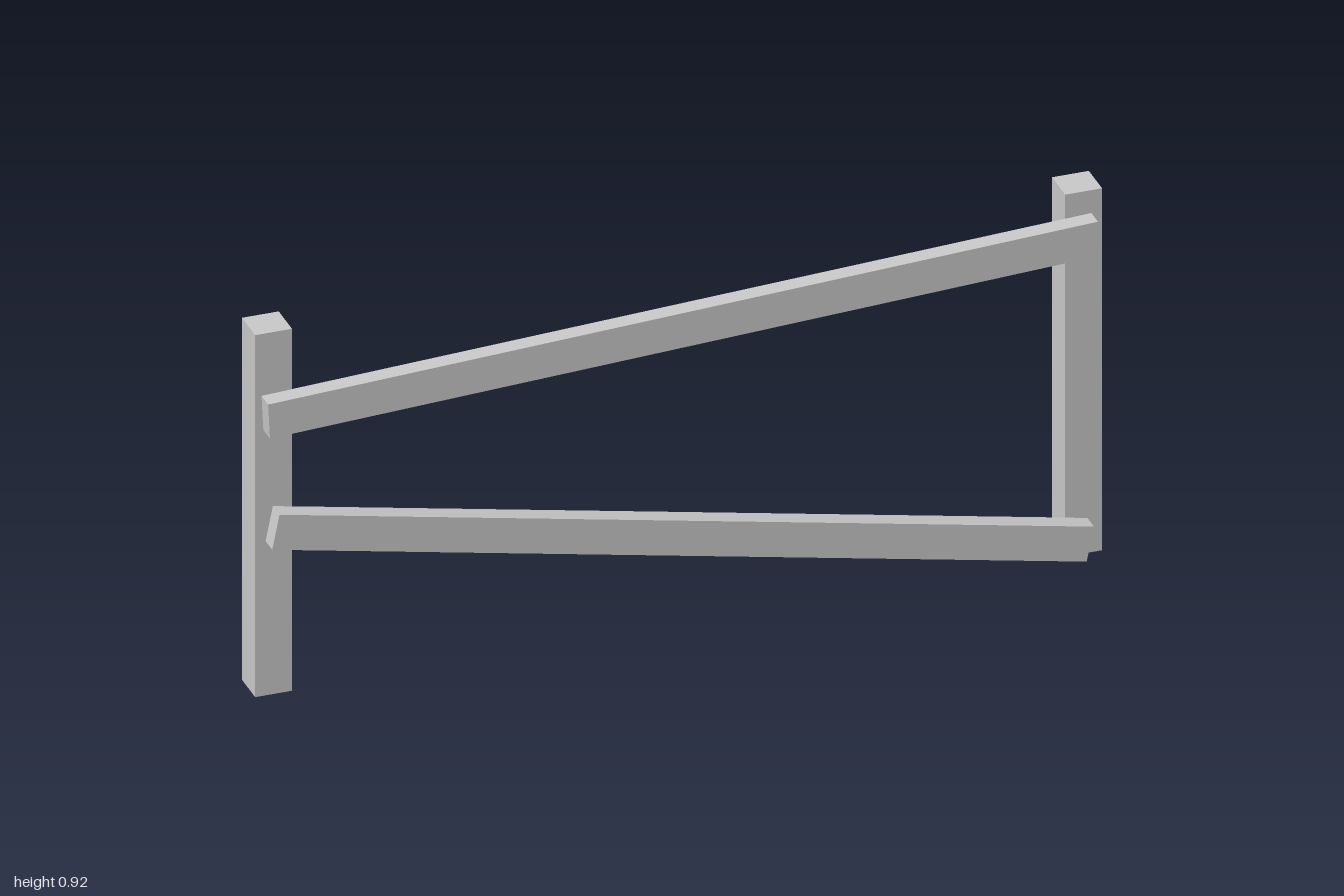
import * as THREE from 'three';

export function createModel() {
  const group = new THREE.Group();
  const material = new THREE.MeshStandardMaterial({ color: 0xcccccc, flatShading: true });

  function beam(name, size, position, tilt = 0) {
    const mesh = new THREE.Mesh(new THREE.BoxGeometry(...size), material);
    mesh.name = name;
    mesh.position.set(...position);
    mesh.rotation.z = tilt;
    group.add(mesh);
  }

  // Square upright posts
  for (const [name, side] of [['leftPost', 1], ['rightPost', -1]]) {
    beam(name, [0.087, 0.915, 0.086], [side * 0.9565, 0.4575, -0.0215]);
  }

  // Slanted rails fixed to the front of the posts
  const railSize = [1.962, 0.087, 0.0435];
  beam('upperRail', railSize, [-0.003, 0.7645, 0.0428], 0.0502);
  beam('lowerRail', railSize, [-0.005, 0.239, 0.0428], -0.1986);

  return group;
}
